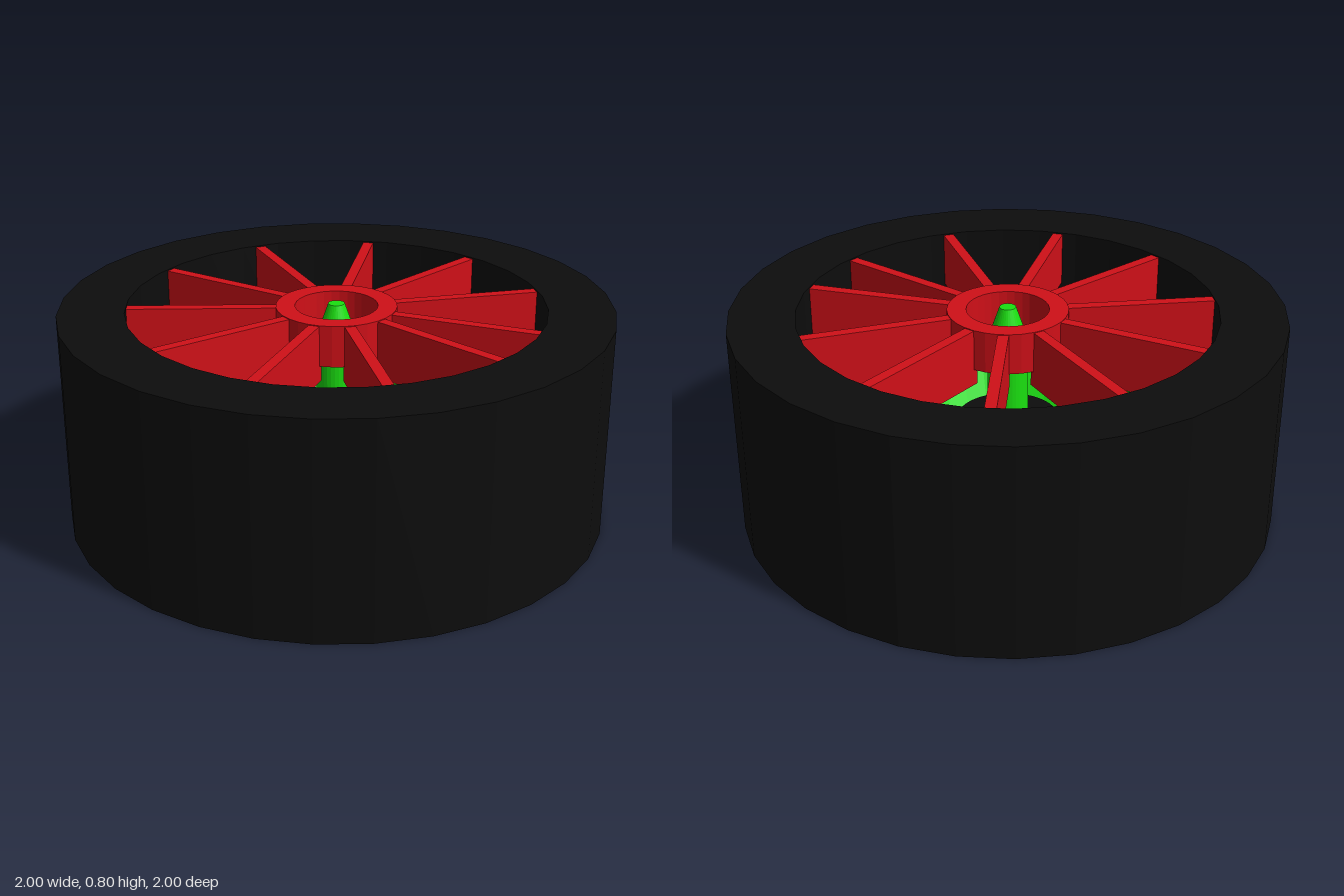
import * as THREE from 'three';

const SIDES = 32;
const paint = (color) => new THREE.MeshStandardMaterial({ color, flatShading: true });

export function createModel() {
  const group = new THREE.Group();
  const black = paint(0x0d0d0d);
  const red = paint(0xd01018);
  const green = paint(0x1ae010);

  const add = (name, geometry, material) => {
    const mesh = new THREE.Mesh(geometry, material);
    mesh.name = name;
    group.add(mesh);
    return mesh;
  };
  // Turned part from [radius, height] pairs
  const turned = (name, profile, material) =>
    add(name, new THREE.LatheGeometry(profile.map(([r, y]) => new THREE.Vector2(r, y)), SIDES), material);

  // Outer body with a deep recess and an inner shelf
  turned('outerBody', [[0, 0], [1, 0], [1, 0.795], [0.76, 0.795], [0.76, 0.42], [0.5, 0.42]], black);

  // Stepped bowl in the recess: sloped sides, flat ring, raised centre
  turned('bowlSlope', [[0.5, 0.42], [0.38, 0.2]], green);
  turned('bowlRing', [[0.38, 0.2], [0.29, 0.2]], red);
  turned('centreSlope', [[0.29, 0.2], [0.19, 0.35]], green);
  turned('centreCap', [[0.19, 0.35], [0, 0.35]], black);

  // Central pin with a tapered tip
  turned('centrePin', [[0.075, 0.34], [0.075, 0.67], [0.03, 0.8], [0, 0.8]], green);

  // Hub ring
  turned('hubRing', [[0.15, 0.64], [0.22, 0.64], [0.22, 0.793], [0.15, 0.793], [0.15, 0.64]], red);

  // Eleven blades, each three body sides apart
  const inner = 0.2, outer = 0.76, height = 0.21;
  const bladeGeometry = new THREE.BoxGeometry(outer - inner, height, 0.04);
  bladeGeometry.translate((inner + outer) / 2, 0.79 - height / 2, 0);
  const step = (3 * Math.PI * 2) / SIDES;
  for (let i = 0; i < 11; i++) {
    add('blade', bladeGeometry, red).rotation.y = -step / 6 + i * step;
  }
  return group;
}
